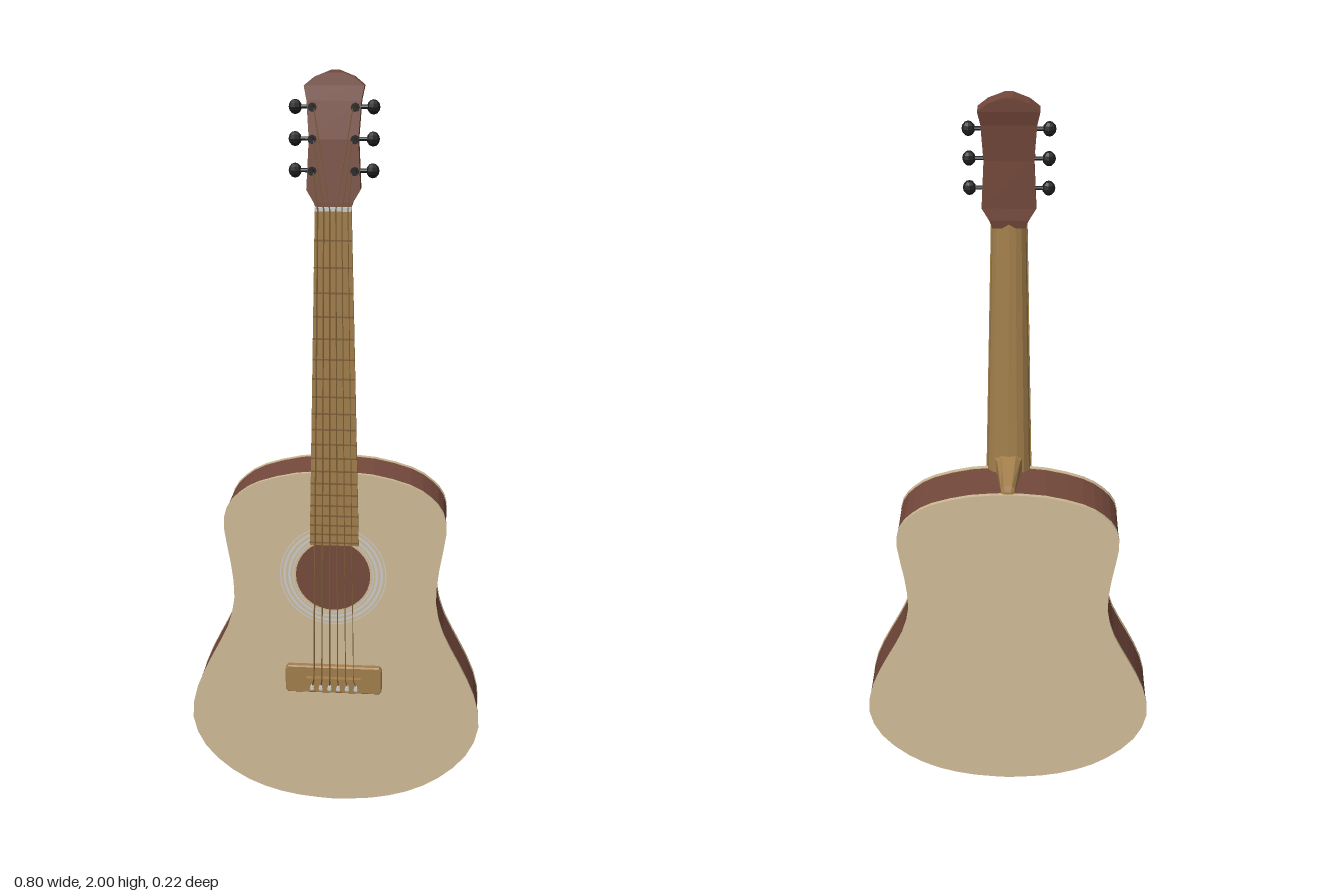
import * as THREE from 'three';

const mat = (color) => new THREE.MeshStandardMaterial({ color, flatShading: true });
const cream = mat(0xcfbb96), brown = mat(0x75493c), tan = mat(0xa37f4c);
const black = mat(0x1e1e1e), grey = mat(0xcccccc), bronze = mat(0x7d6038);

function add(parent, name, geometry, material, x = 0, y = 0, z = 0) {
  const mesh = new THREE.Mesh(geometry, material);
  mesh.name = name;
  mesh.position.set(x, y, z);
  parent.add(mesh);
  return mesh;
}

// Skins rings of [x, y, z]; rings run anticlockwise seen from the end of the loft
function loft(rings) {
  const pos = [], n = rings[0].length;
  const tri = (a, b, c) => pos.push(...a, ...b, ...c);
  for (let i = 0; i < rings.length - 1; i++) {
    for (let j = 0; j < n; j++) {
      const k = (j + 1) % n, lo = rings[i], hi = rings[i + 1];
      tri(lo[j], lo[k], hi[k]);
      tri(lo[j], hi[k], hi[j]);
    }
  }
  const first = rings[0], last = rings[rings.length - 1];
  for (let j = 1; j < n - 1; j++) {
    tri(first[0], first[j + 1], first[j]);
    tri(last[0], last[j], last[j + 1]);
  }
  const g = new THREE.BufferGeometry();
  g.setAttribute('position', new THREE.Float32BufferAttribute(pos, 3));
  g.computeVertexNormals();
  return g;
}

// Rectangular ring at height y with half width w, front f and back b
const slab = (y, w, f, b) => [[-w, y, f], [w, y, f], [w, y, b], [-w, y, b]];

// Cylinder between two points
function rod(parent, name, a, b, r, material, sides = 6) {
  const p = new THREE.Vector3(...a), q = new THREE.Vector3(...b);
  const d = q.clone().sub(p);
  const m = add(parent, name, new THREE.CylinderGeometry(r, r, d.length(), sides), material);
  m.position.copy(p).add(q).multiplyScalar(0.5);
  m.quaternion.setFromUnitVectors(new THREE.Vector3(0, 1, 0), d.normalize());
  return m;
}

// Outline of the soundbox, mirrored from one half
function bodyShape(scale) {
  const half = [[0, 0.004], [0.1, 0.012], [0.2, 0.037], [0.29, 0.085], [0.365, 0.16], [0.398, 0.25],
    [0.383, 0.345], [0.34, 0.44], [0.295, 0.53], [0.273, 0.62], [0.28, 0.72], [0.296, 0.82],
    [0.288, 0.88], [0.254, 0.922], [0.2, 0.955], [0.1, 0.981], [0, 0.988]];
  const pts = new THREE.SplineCurve(half.map(p => new THREE.Vector2(...p))).getPoints(32);
  const left = pts.slice(1, -1).reverse().map(p => new THREE.Vector2(-p.x, p.y));
  return new THREE.Shape([...pts, ...left].map(p =>
    new THREE.Vector2(p.x * scale, 0.496 + (p.y - 0.496) * scale)));
}

function buildBody() {
  const body = new THREE.Group();
  body.name = 'body';
  body.rotation.x = 0.018;
  const plate = (depth, scale) => new THREE.ExtrudeGeometry(bodyShape(scale), { depth, bevelEnabled: false });
  add(body, 'sides', plate(0.133, 0.996), brown, 0, 0, -0.101);
  add(body, 'topPlate', plate(0.011, 1), cream, 0, 0, 0.032);
  add(body, 'backPlate', plate(0.011, 1), cream, 0, 0, -0.112);

  // Sound hole and rosette
  add(body, 'soundHole', new THREE.CircleGeometry(0.1, 32), brown, -0.004, 0.695, 0.0452);
  for (const [r, w] of [[0.108, 0.003], [0.118, 0.007], [0.131, 0.007], [0.142, 0.003]])
    add(body, 'rosetteRing', new THREE.RingGeometry(r - w / 2, r + w / 2, 40), grey, -0.004, 0.695, 0.0445);

  // Bridge with saddle and pins
  const s = new THREE.Shape();
  s.moveTo(-0.125, -0.04).lineTo(0.125, -0.04).lineTo(0.132, -0.03).lineTo(0.132, 0.03);
  s.lineTo(0.125, 0.04).lineTo(-0.125, 0.04).lineTo(-0.132, 0.03).lineTo(-0.132, -0.03);
  const bridge = new THREE.ExtrudeGeometry(s, {
    depth: 0.014, bevelThickness: 0.004, bevelSize: 0.003, bevelOffset: -0.003, bevelSegments: 1 });
  add(body, 'bridge', bridge, tan, -0.002, 0.391, 0.046);
  add(body, 'saddle', new THREE.BoxGeometry(0.15, 0.007, 0.02), tan, -0.002, 0.398, 0.067);
  for (let i = 0; i < 6; i++) {
    const pin = add(body, 'bridgePin', new THREE.CylinderGeometry(0.006, 0.004, 0.022, 8), grey,
      -0.06 + i * 0.024, 0.373, 0.07);
    pin.rotation.x = Math.PI / 2;
  }
  return body;
}

const boardFront = (y) => 0.069 + 0.031 * (y - 0.785);
const boardHalf = (y) => 0.065 - 0.0226 * (y - 0.785);

function buildNeck() {
  const neck = new THREE.Group();
  neck.name = 'neck';

  // Rounded neck shaft under the fretboard
  const shaft = [[0.98, 0.018], [1.03, 0.02], [1.68, 0.048]].map(([y, back]) => {
    const front = boardFront(y) - 0.01, w = boardHalf(y) - 0.002, ring = [];
    for (let i = 0; i <= 8; i++) {
      const a = Math.PI * i / 8;
      ring.push([w * Math.cos(a), y, front - (front - back) * Math.pow(Math.sin(a), 0.8)]);
    }
    return ring;
  });
  add(neck, 'neckShaft', loft(shaft), tan);

  // Heel tapering along the top of the body
  const heel = [[-0.09, 0.013, 0.995], [-0.083, 0.018, 1.013], [0.018, 0.031, 1.036], [0.05, 0.045, 1.045]]
    .map(([z, w, top]) => [[-w, 0.96, z], [w, 0.96, z], [w, top - 0.012, z],
      [w * 0.6, top, z], [-w * 0.6, top, z], [-w, top - 0.012, z]]);
  add(neck, 'heel', loft(heel), tan);

  // Fretboard, frets spaced by the twelfth root of two, and nut
  add(neck, 'fretboard', loft([0.785, 1.675].map(y =>
    slab(y, boardHalf(y), boardFront(y), boardFront(y) - 0.014))), tan);
  for (let n = 1; n <= 20; n++) {
    const y = 1.67 - 1.28 * (1 - Math.pow(2, -n / 12));
    add(neck, 'fret', new THREE.BoxGeometry(boardHalf(y) * 2, 0.004, 0.005), bronze, 0, y, boardFront(y));
  }
  add(neck, 'nut', new THREE.BoxGeometry(0.09, 0.01, 0.018), grey, 0, 1.675, 0.094);
  return neck;
}

function buildHeadstock() {
  const head = new THREE.Group();
  head.name = 'headstock';
  const rows = [[1.668, 0.04, 0.093, 0.05], [1.69, 0.048, 0.092, 0.046], [1.72, 0.066, 0.09, 0.047],
    [1.84, 0.06, 0.083, 0.042], [1.93, 0.066, 0.072, 0.03], [1.965, 0.073, 0.067, 0.019],
    [1.985, 0.048, 0.065, 0.017], [1.995, 0.022, 0.064, 0.016], [2, 0.01, 0.064, 0.016]];
  add(head, 'headPlate', loft(rows.map(r => slab(...r))), brown);

  // Tuning machines, three on each side
  [[1.765, 0.088], [1.84, 0.083], [1.915, 0.074]].forEach(([y, z]) => {
    for (const side of [-1, 1]) {
      const tuner = new THREE.Group();
      tuner.name = 'tuner';
      rod(tuner, 'post', [side * 0.052, y, z - 0.02], [side * 0.052, y, z + 0.024], 0.006, black, 8);
      rod(tuner, 'collar', [side * 0.052, y, z - 0.004], [side * 0.052, y, z + 0.004], 0.011, black, 8);
      rod(tuner, 'shaft', [side * 0.05, y, z - 0.02], [side * 0.09, y, z - 0.02], 0.005, black, 8);
      const knob = add(tuner, 'knob', new THREE.SphereGeometry(0.019, 8, 6), black, side * 0.095, y, z - 0.02);
      knob.scale.set(0.85, 0.95, 0.85);
      head.add(tuner);
    }
  });
  return head;
}

function buildStrings() {
  const strings = new THREE.Group();
  strings.name = 'strings';
  const posts = [[1.765, 0.106], [1.84, 0.099], [1.915, 0.089]];
  for (let i = 0; i < 6; i++) {
    const t = i / 2.5 - 1, r = 0.0021 - i * 0.0002;
    const [py, pz] = posts[i < 3 ? i : 5 - i];
    const saddle = [t * 0.054, 0.398, 0.086], nut = [t * 0.037, 1.675, 0.104];
    rod(strings, 'string', saddle, nut, r, bronze, 5);
    rod(strings, 'stringTail', [t * 0.06, 0.373, 0.075], saddle, r, bronze, 5);
    rod(strings, 'stringHead', nut, [Math.sign(t) * 0.047, py, pz], r, bronze, 5);
  }
  return strings;
}

export function createModel() {
  const guitar = new THREE.Group();
  guitar.name = 'guitar';
  guitar.add(buildBody(), buildNeck(), buildHeadstock(), buildStrings());
  return guitar;
}
